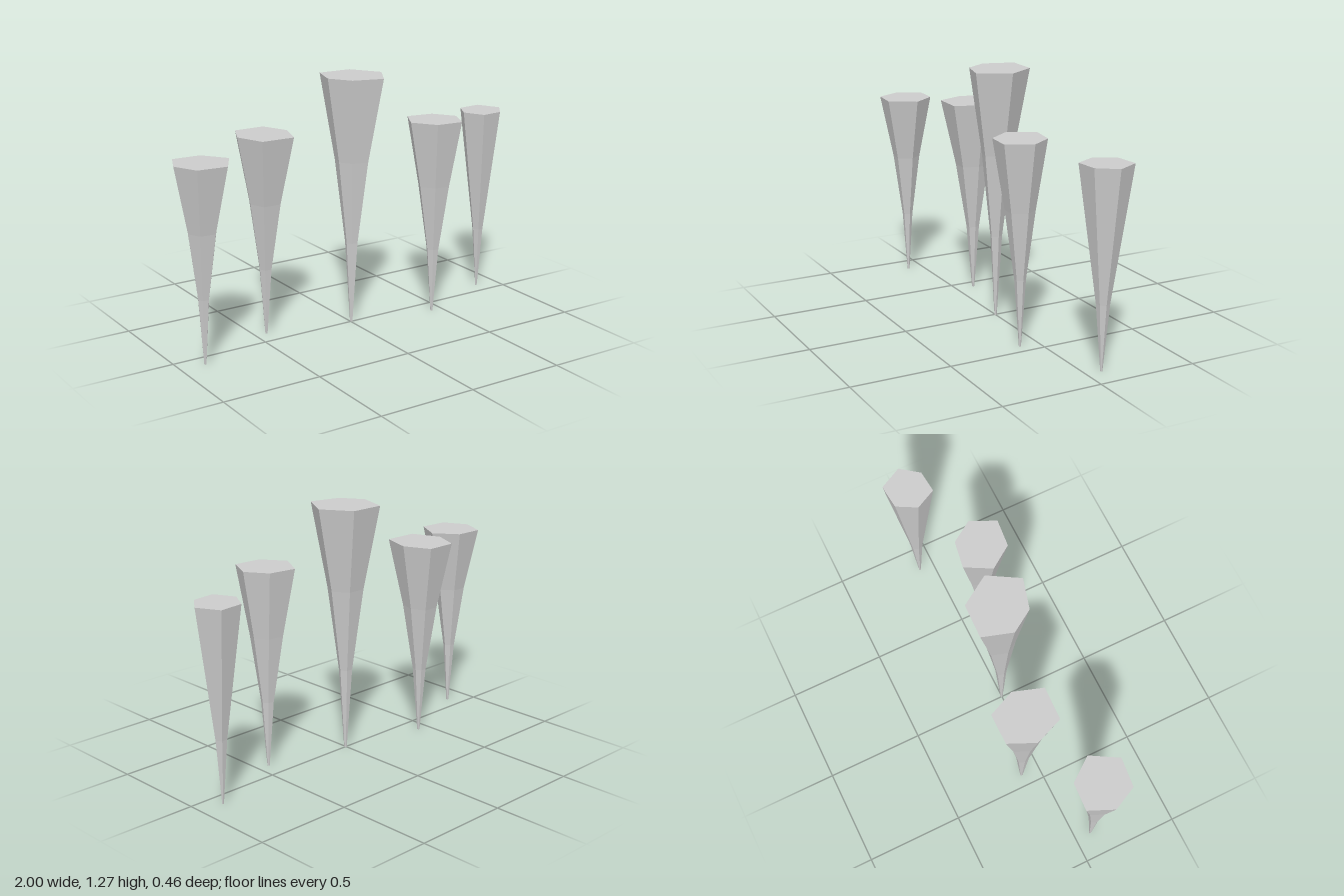
import * as THREE from 'three';

const material = new THREE.MeshStandardMaterial({ color: 0xcccccc, flatShading: true });

// Each spike: tip position, height, taper of the four rings (tip to top),
// and the top radius at each 60 degree corner, turning from +x towards +z
const spikes = [
  { name: 'outerRightSpike', x: -0.873, z: 0.083, h: 0.98, taper: [0.04, 0.2, 0.52, 1], radii: [0.155, 0.154, 0.137, 0.127, 0.144, 0.135] },
  { name: 'innerRightSpike', x: -0.437, z: -0.1, h: 1.02, taper: [0.04, 0.21, 0.54, 1], radii: [0.135, 0.171, 0.164, 0.138, 0.154, 0.153] },
  { name: 'centreSpike', x: 0.003, z: 0, h: 1.27, taper: [0.04, 0.2, 0.53, 1], radii: [0.177, 0.175, 0.127, 0.134, 0.173, 0.167] },
  { name: 'innerLeftSpike', x: 0.437, z: 0.1, h: 1.02, taper: [0.04, 0.22, 0.57, 1], radii: [0.133, 0.147, 0.132, 0.146, 0.15, 0.124] },
  { name: 'outerLeftSpike', x: 0.875, z: -0.08, h: 0.98, taper: [0.04, 0.26, 0.63, 1], radii: [0.124, 0.108, 0.12, 0.113, 0.116, 0.13] },
];

// Six-sided spike, tip down, with uneven corners and a curved taper
function makeSpike({ name, x, z, h, taper, radii }) {
  const geometry = new THREE.CylinderGeometry(1, 1, h, 6, 3, false, Math.PI / 6);
  geometry.translate(0, h / 2, 0);
  const p = geometry.attributes.position;
  for (let i = 0; i < p.count; i++) {
    const corner = (Math.round(Math.atan2(p.getZ(i), p.getX(i)) / (Math.PI / 3)) + 6) % 6;
    const r = radii[corner] * taper[Math.round((p.getY(i) / h) * 3)];
    p.setX(i, p.getX(i) * r);
    p.setZ(i, p.getZ(i) * r);
  }
  const faceted = geometry.toNonIndexed();
  faceted.computeVertexNormals();
  const mesh = new THREE.Mesh(faceted, material);
  mesh.name = name;
  mesh.position.set(x, 0, z);
  return mesh;
}

export function createModel() {
  const group = new THREE.Group();
  group.name = 'hangingSpikes';
  for (const spike of spikes) group.add(makeSpike(spike));
  return group;
}
